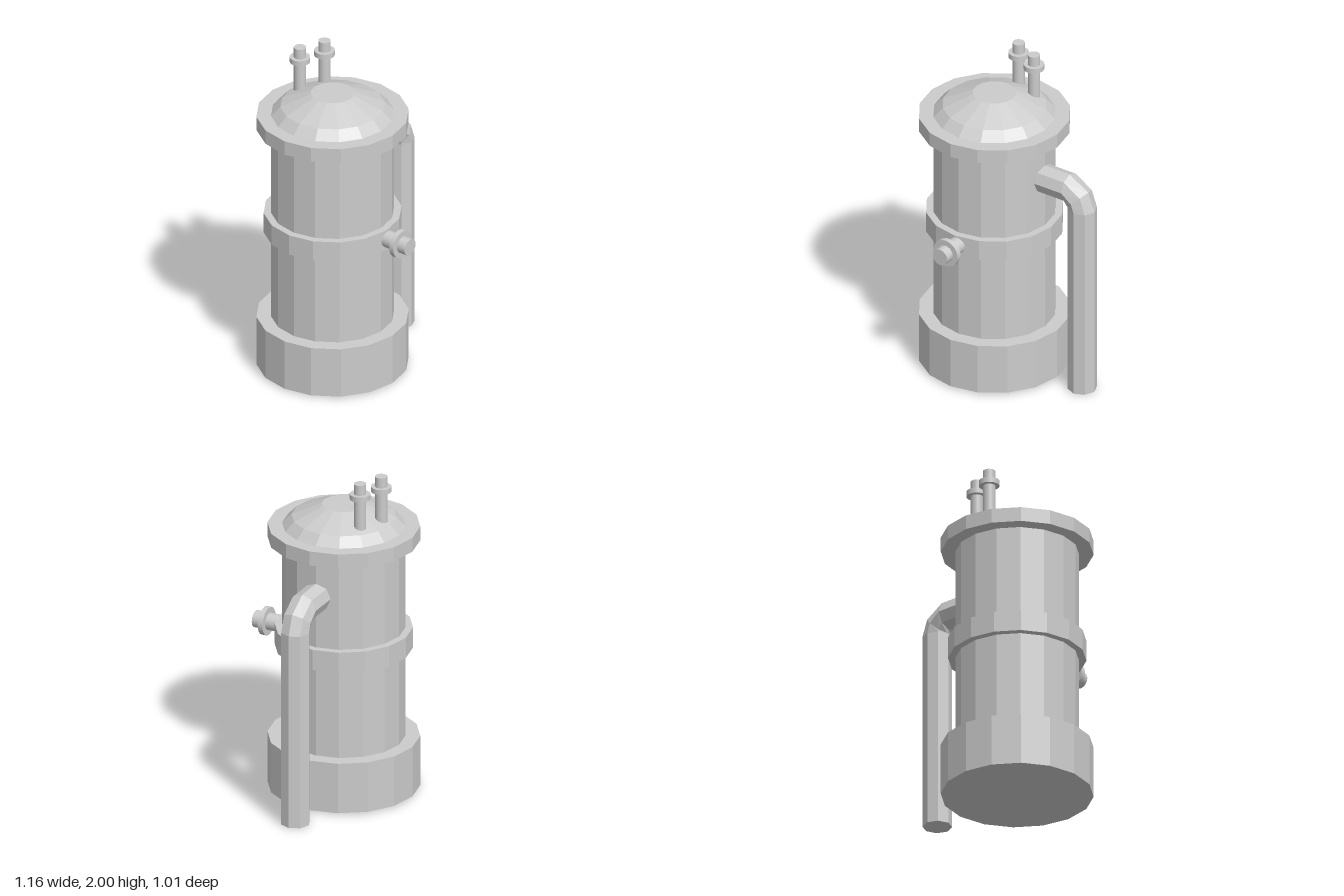
import * as THREE from 'three';

const AXIS_X = -0.135, AXIS_Z = -0.064;

export function createModel() {
  const group = new THREE.Group();
  const flat = new THREE.MeshStandardMaterial({ color: 0xcccccc, flatShading: true });
  const smooth = new THREE.MeshStandardMaterial({ color: 0xcccccc });

  const add = (parent, name, geometry, material) => {
    const mesh = new THREE.Mesh(geometry, material);
    mesh.name = name;
    parent.add(mesh);
    return mesh;
  };

  // upright cylinder spanning y0..y1
  const cylinder = (r, y0, y1, sides) =>
    new THREE.CylinderGeometry(r, r, y1 - y0, sides).translate(0, (y0 + y1) / 2, 0);

  // 16-sided vessel: base, shell, middle band, top flange and domed lid
  const vessel = new THREE.Group();
  vessel.name = 'vessel';
  vessel.position.set(AXIS_X, 0, AXIS_Z);
  group.add(vessel);
  for (const [name, r, y0, y1] of [
    ['base', 0.445, 0.01, 0.323],
    ['shell', 0.36, 0.2, 1.6],
    ['middleBand', 0.403, 0.88, 1.008],
    ['topFlange', 0.445, 1.56, 1.648],
  ]) add(vessel, name, cylinder(r, y0, y1, 16), flat);

  const domeProfile = [[0.36, 1.64], [0.36, 1.648], [0.305, 1.703], [0.128, 1.78], [0, 1.78]];
  add(vessel, 'domedLid',
    new THREE.LatheGeometry(domeProfile.map(([x, y]) => new THREE.Vector2(x, y)), 16), flat);

  // round pipe stub with a collar, running along +y from its own origin
  const flangedStub = (name, r, collarR, length, collar0, collar1) => {
    const stub = new THREE.Group();
    stub.name = name;
    add(stub, 'stubPipe', cylinder(r, 0, length, 32), smooth);
    add(stub, 'stubCollar', cylinder(collarR, collar0, collar1, 32), smooth);
    group.add(stub);
    return stub;
  };

  // two vents on the lid
  for (const [x, z] of [[-0.135, -0.307], [0.017, -0.246]])
    flangedStub('lidVent', 0.036, 0.06, 0.34, 0.245, 0.277).position.set(x, 1.66, z);

  // front outlet
  const outlet = flangedStub('frontOutlet', 0.051, 0.085, 0.253, 0.166, 0.197);
  outlet.position.set(-0.122, 0.945, 0.25);
  outlet.rotation.x = Math.PI / 2;

  add(group, 'sidePipe', elbowPipe(), flat);
  return group;
}

// octagonal pipe: rings [x, y, tilt], tilt turning from horizontal run to vertical drop
function elbowPipe() {
  const r = 0.087, n = 8;
  const rings = [
    [0.15, 1.323, Math.PI / 2],
    [0.4, 1.323, Math.PI / 2],
    [0.47, 1.27, Math.PI / 4],
    [0.489, 1.212, 0],
    [0.489, 0, 0],
  ];
  const positions = [], index = [];
  for (const [x, y, tilt] of rings)
    for (let i = 0; i < n; i++) {
      const a = (i / n) * Math.PI * 2, out = r * Math.cos(a);
      positions.push(x + out * Math.cos(tilt), y + out * Math.sin(tilt), AXIS_Z + r * Math.sin(a));
    }
  for (let k = 0; k < rings.length - 1; k++)
    for (let i = 0; i < n; i++) {
      const a = k * n + i, b = k * n + (i + 1) % n;
      index.push(a, b, a + n, b, b + n, a + n);
    }
  // end caps
  const last = (rings.length - 1) * n;
  for (let i = 1; i < n - 1; i++) {
    index.push(0, i + 1, i);
    index.push(last, last + i, last + i + 1);
  }
  const geometry = new THREE.BufferGeometry();
  geometry.setAttribute('position', new THREE.Float32BufferAttribute(positions, 3));
  geometry.setIndex(index);
  geometry.computeVertexNormals();
  return geometry;
}
